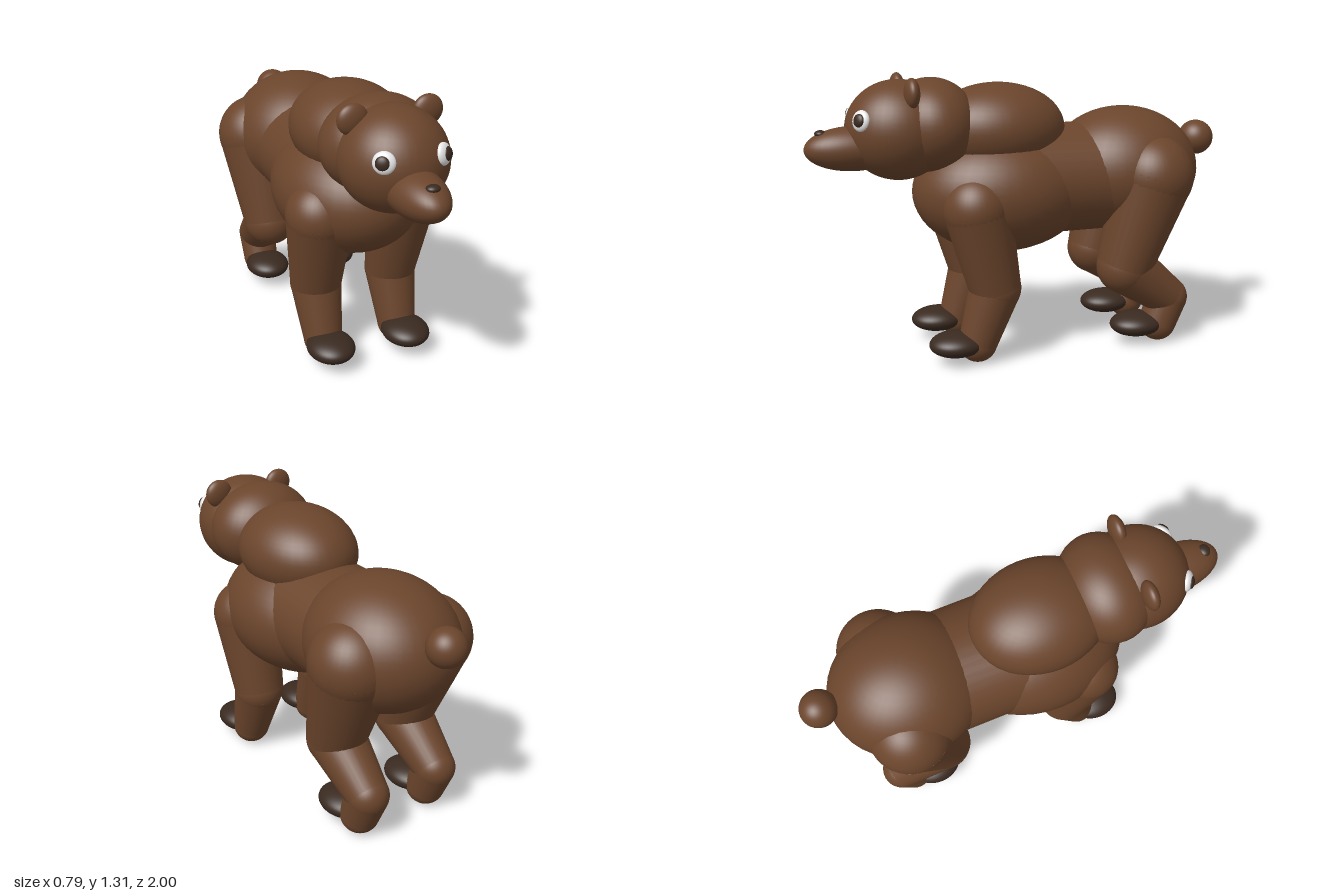
import * as THREE from 'three';

export function createModel() {
  const bear = new THREE.Group();
  bear.name = 'bear';

  const material = (name, color) => {
    const m = new THREE.MeshStandardMaterial({ color });
    m.name = name;
    return m;
  };
  const fur = material('brownFur', 0x6b452c);
  const dark = material('darkBrown', 0x3a2a20);
  const white = material('eyeWhite', 0xf4f4f4);

  const add = (parent, name, geometry, mat, pos) => {
    const mesh = new THREE.Mesh(geometry, mat);
    mesh.name = name;
    mesh.position.set(...pos);
    parent.add(mesh);
    return mesh;
  };

  // Sphere stretched to three radii
  const ellipsoid = (parent, name, pos, radii, mat = fur) =>
    add(parent, name, new THREE.SphereGeometry(1, 40, 28).scale(...radii), mat, pos);

  // Tapered limb segment from a to b
  const segment = (parent, name, a, b, ra, rb) => {
    const from = new THREE.Vector3(...a);
    const axis = new THREE.Vector3(...b).sub(from);
    const geometry = new THREE.CylinderGeometry(ra, rb, axis.length(), 32);
    const mid = from.clone().addScaledVector(axis, 0.5);
    const mesh = add(parent, name, geometry, fur, mid.toArray());
    mesh.quaternion.setFromUnitVectors(new THREE.Vector3(0, -1, 0), axis.normalize());
    return mesh;
  };

  // Leg: round joints linked by segments, with a dark paw
  const leg = (name, joints, paw) => {
    const group = new THREE.Group();
    group.name = name;
    joints.forEach(([pos, r, joint], i) => {
      ellipsoid(group, joint, pos, [r, r, r]);
      if (i === 0) return;
      const [prev, pr] = joints[i - 1];
      segment(group, 'legSegment' + i, prev, pos, pr, r);
    });
    ellipsoid(group, 'paw', paw, [0.11, 0.058, 0.13], dark);
    bear.add(group);
  };

  // Body
  ellipsoid(bear, 'chest', [0, 0.77, 0.1], [0.34, 0.29, 0.42]);
  const waist = add(bear, 'waist', new THREE.CylinderGeometry(1, 1, 0.5, 40), fur, [0, 0.81, -0.2]);
  waist.rotation.x = Math.PI / 2;
  waist.scale.set(0.285, 1, 0.26);
  ellipsoid(bear, 'rump', [0, 0.84, -0.515], [0.33, 0.3, 0.37]);
  ellipsoid(bear, 'shoulderHump', [0, 1.06, 0.12], [0.26, 0.21, 0.32]);
  ellipsoid(bear, 'tail', [0, 0.97, -0.915], [0.085, 0.085, 0.085]);

  // Head
  ellipsoid(bear, 'neck', [0, 1.085, 0.43], [0.258, 0.215, 0.21]);
  ellipsoid(bear, 'head', [0, 1.07, 0.58], [0.235, 0.225, 0.24]);
  ellipsoid(bear, 'muzzle', [0, 0.995, 0.78], [0.115, 0.1, 0.22]);
  ellipsoid(bear, 'nose', [0, 1.066, 0.925], [0.03, 0.016, 0.026], dark);

  for (const [side, s] of [['left', 1], ['right', -1]]) {
    ellipsoid(bear, side + 'Ear', [0.168 * s, 1.245, 0.55], [0.068, 0.067, 0.034]);

    // Eye: flattened ball turned outwards, with a pupil
    const eye = new THREE.Group();
    eye.name = side + 'Eye';
    eye.position.set(0.129 * s, 1.131, 0.765);
    eye.rotation.set(-0.2, 0.62 * s, 0, 'YXZ');
    ellipsoid(eye, 'eyeball', [0, 0, 0], [0.047, 0.047, 0.024], white);
    ellipsoid(eye, 'pupil', [0.004 * s, 0, 0.018], [0.029, 0.029, 0.014], dark);
    bear.add(eye);

    leg(side + 'FrontLeg', [
      [[0.2 * s, 0.73, 0.275], 0.155, 'shoulder'],
      [[0.19 * s, 0.35, 0.19], 0.12, 'elbow'],
      [[0.19 * s, 0.095, 0.275], 0.09, 'wrist'],
    ], [0.19 * s, 0.1, 0.372]);

    leg(side + 'HindLeg', [
      [[0.205 * s, 0.83, -0.585], 0.192, 'hip'],
      [[0.19 * s, 0.395, -0.455], 0.133, 'knee'],
      [[0.19 * s, 0.22, -0.69], 0.096, 'ankle'],
      [[0.19 * s, 0.095, -0.64], 0.09, 'heel'],
    ], [0.19 * s, 0.1, -0.525]);
  }

  return bear;
}
